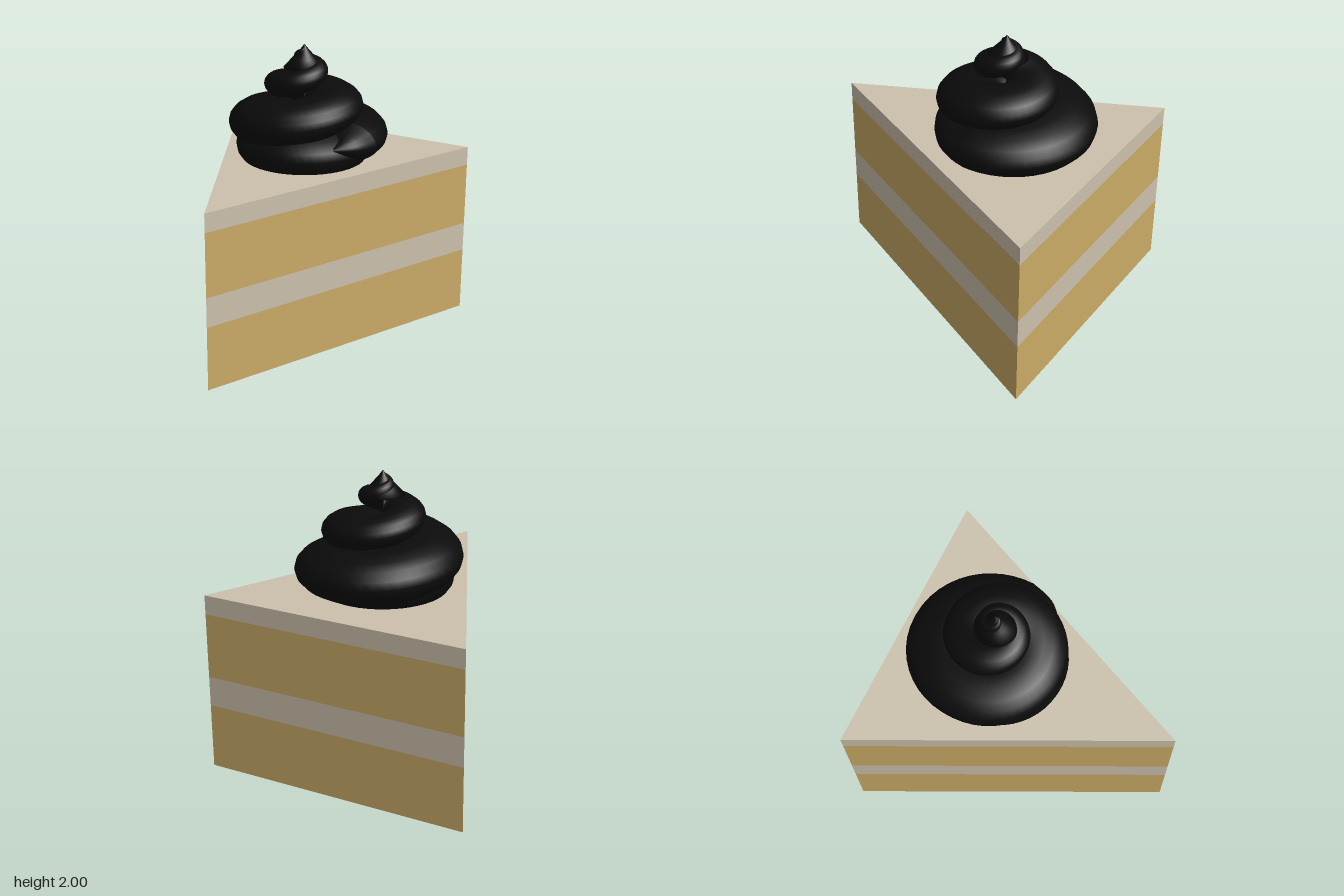
import * as THREE from 'three';

const paint = (name, color, side = THREE.FrontSide) => {
  const m = new THREE.MeshStandardMaterial({ color, side });
  m.name = name;
  return m;
};

export function createModel() {
  const group = new THREE.Group();
  group.name = 'cakeSlice';
  const sponge = paint('sponge', 0xcbab67);
  const cream = paint('cream', 0xccc1ad);
  const chocolate = paint('chocolate', 0x0b0b0b);

  const add = (name, geometry, material) => {
    const mesh = new THREE.Mesh(geometry, material);
    mesh.name = name;
    group.add(mesh);
    return mesh;
  };

  // Triangular wedge in four stacked layers, point towards the front
  const wedge = new THREE.Shape([
    new THREE.Vector2(-0.925, 0.985),
    new THREE.Vector2(0, -0.985),
    new THREE.Vector2(0.925, 0.985),
  ]);
  const layers = [
    ['lowerSponge', 0, 0.445, sponge],
    ['creamFilling', 0.445, 0.65, cream],
    ['upperSponge', 0.65, 1.09, sponge],
    ['creamTopping', 1.09, 1.22, cream],
  ];
  for (const [name, y0, y1, material] of layers) {
    const g = new THREE.ExtrudeGeometry(wedge, { depth: y1 - y0, bevelEnabled: false });
    g.rotateX(-Math.PI / 2);
    g.translate(0, y0, 0);
    add(name, g, material);
  }

  // Piped swirl: [quarter turns, outer radius, height, half thickness]
  const axisZ = -0.29, floor = 1.215;
  const stations = [
    [-0.4, 0.45, 1.38, 0.01], [-0.2, 0.515, 1.375, 0.09],
    [0, 0.55, 1.37, 0.145], [1, 0.61, 1.39, 0.17],
    [2, 0.535, 1.44, 0.17], [3, 0.47, 1.5, 0.16],
    [4, 0.415, 1.585, 0.13], [5, 0.36, 1.63, 0.115],
    [6, 0.29, 1.705, 0.1], [7, 0.225, 1.755, 0.09],
    [8, 0.172, 1.815, 0.075], [9, 0.125, 1.86, 0.06],
    [10, 0.08, 1.9, 0.05], [11, 0.04, 1.945, 0.03], [12, 0.005, 1.98, 0.002],
  ];
  const curve = new THREE.CatmullRomCurve3(stations.map(s => new THREE.Vector3(s[1], s[2], s[3])));
  const perStation = 12, sides = 20;
  const steps = (stations.length - 1) * perStation;
  const positions = [], indices = [];
  for (let i = 0; i <= steps; i++) {
    const k = Math.min(Math.floor(i / perStation), stations.length - 2);
    const turn = THREE.MathUtils.lerp(stations[k][0], stations[k + 1][0], i / perStation - k);
    const angle = turn * Math.PI / 2;
    const p = curve.getPoint(i / steps);
    const half = Math.min(p.x / 2, p.z * 1.8);
    for (let j = 0; j < sides; j++) {
      const phi = j / sides * Math.PI * 2;
      const r = p.x - half + half * Math.cos(phi);
      const y = Math.max(floor, p.y + p.z * Math.sin(phi));
      positions.push(r * Math.cos(angle), y, axisZ - r * Math.sin(angle));
      if (i < steps) {
        const a = i * sides + j, c = i * sides + (j + 1) % sides;
        indices.push(a, a + sides, c, c, a + sides, c + sides);
      }
    }
  }
  const swirl = new THREE.BufferGeometry();
  swirl.setAttribute('position', new THREE.Float32BufferAttribute(positions, 3));
  swirl.setIndex(indices);
  swirl.computeVertexNormals();
  add('frostingSwirl', swirl, chocolate);

  // Round solids on the swirl axis: bottom coil and pointed tip
  const lathe = (name, profile) => {
    const pts = profile.map(([r, y]) => new THREE.Vector2(r, y));
    add(name, new THREE.LatheGeometry(pts, 48), chocolate).position.z = axisZ;
  };
  lathe('frostingBase', [[0, 1.215], [0.42, 1.215], [0.452, 1.26], [0.462, 1.31],
    [0.455, 1.37], [0.4, 1.43], [0.25, 1.47], [0, 1.48]]);
  lathe('frostingTip', [[0, 1.8], [0.14, 1.84], [0.08, 1.905], [0.03, 1.96], [0, 2]]);

  return group;
}
